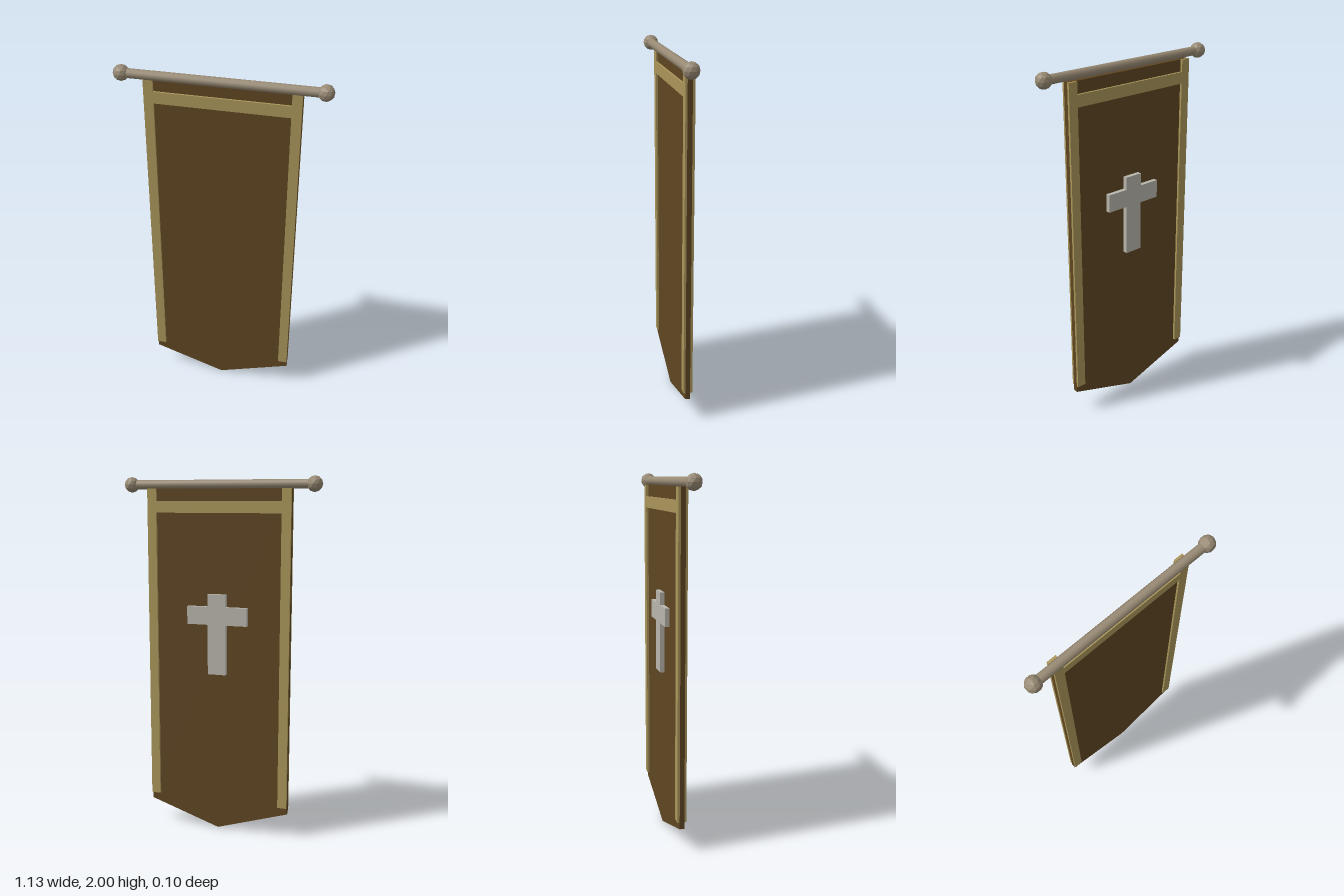
import * as THREE from 'three';

const material = (color, flatShading = false) => new THREE.MeshStandardMaterial({ color, flatShading });

// Extruded outline between two z planes
function slab(points, zBack, zFront) {
  const shape = new THREE.Shape(points.map(([x, y]) => new THREE.Vector2(x, y)));
  const geometry = new THREE.ExtrudeGeometry(shape, { depth: zFront - zBack, bevelEnabled: false });
  return geometry.translate(0, 0, zBack);
}

export function createModel() {
  const group = new THREE.Group();
  const clothMat = material(0x5f4522);
  const trimMat = material(0xaa965a);
  const poleMat = material(0x988a74);
  const knobMat = material(0x988a74, true);
  const crossMat = material(0xb8b5ab);

  const add = (name, geometry, mat, x = 0, y = 0, z = 0) => {
    const mesh = new THREE.Mesh(geometry, mat);
    mesh.name = name;
    mesh.position.set(x, y, z);
    group.add(mesh);
    return mesh;
  };

  const halfWidth = 0.41, top = 1.935, trimWidth = 0.052;
  const clothBack = -0.027, clothFront = -0.001;
  const poleY = 1.957, poleZ = 0.008;

  // Cloth with a pointed lower edge
  add('cloth', slab([
    [-halfWidth, top], [-halfWidth, 0.132], [0, 0], [halfWidth, 0.132], [halfWidth, top],
  ], clothBack, clothFront), clothMat);

  // Raised trim on both faces: two side bands and one cross band
  const sides = [['front', clothFront, 0.01], ['back', -0.04, clothBack]];
  for (const [face, z0, z1] of sides) {
    const depth = z1 - z0, z = (z0 + z1) / 2;
    for (const s of [-1, 1]) {
      add(`${face}${s > 0 ? 'Left' : 'Right'}Trim`,
        new THREE.BoxGeometry(trimWidth, top - 0.17, depth), trimMat,
        s * (halfWidth - trimWidth / 2), (top + 0.17) / 2, z);
    }
    add(`${face}TopTrim`, new THREE.BoxGeometry(2 * (halfWidth - trimWidth), 0.064, depth),
      trimMat, 0, 1.837, z);
  }

  // Cross emblem on the back
  const a = 0.052, b = 0.173, armLow = 1.195, armHigh = 1.295;
  add('crossEmblem', slab([
    [-a, 0.915], [a, 0.915], [a, armLow], [b, armLow], [b, armHigh], [a, armHigh],
    [a, 1.365], [-a, 1.365], [-a, armHigh], [-b, armHigh], [-b, armLow], [-a, armLow],
  ], -0.052, clothBack), crossMat);

  // Hanging pole with a faceted knob at each end
  add('pole', new THREE.CylinderGeometry(0.025, 0.025, 1.02, 12).rotateZ(Math.PI / 2),
    poleMat, 0, poleY, poleZ);
  const knob = new THREE.IcosahedronGeometry(0.043, 1).rotateZ(Math.atan(2 / (1 + Math.sqrt(5))));
  for (const s of [-1, 1]) add(s > 0 ? 'leftKnob' : 'rightKnob', knob, knobMat, s * 0.522, poleY, poleZ);

  return group;
}
